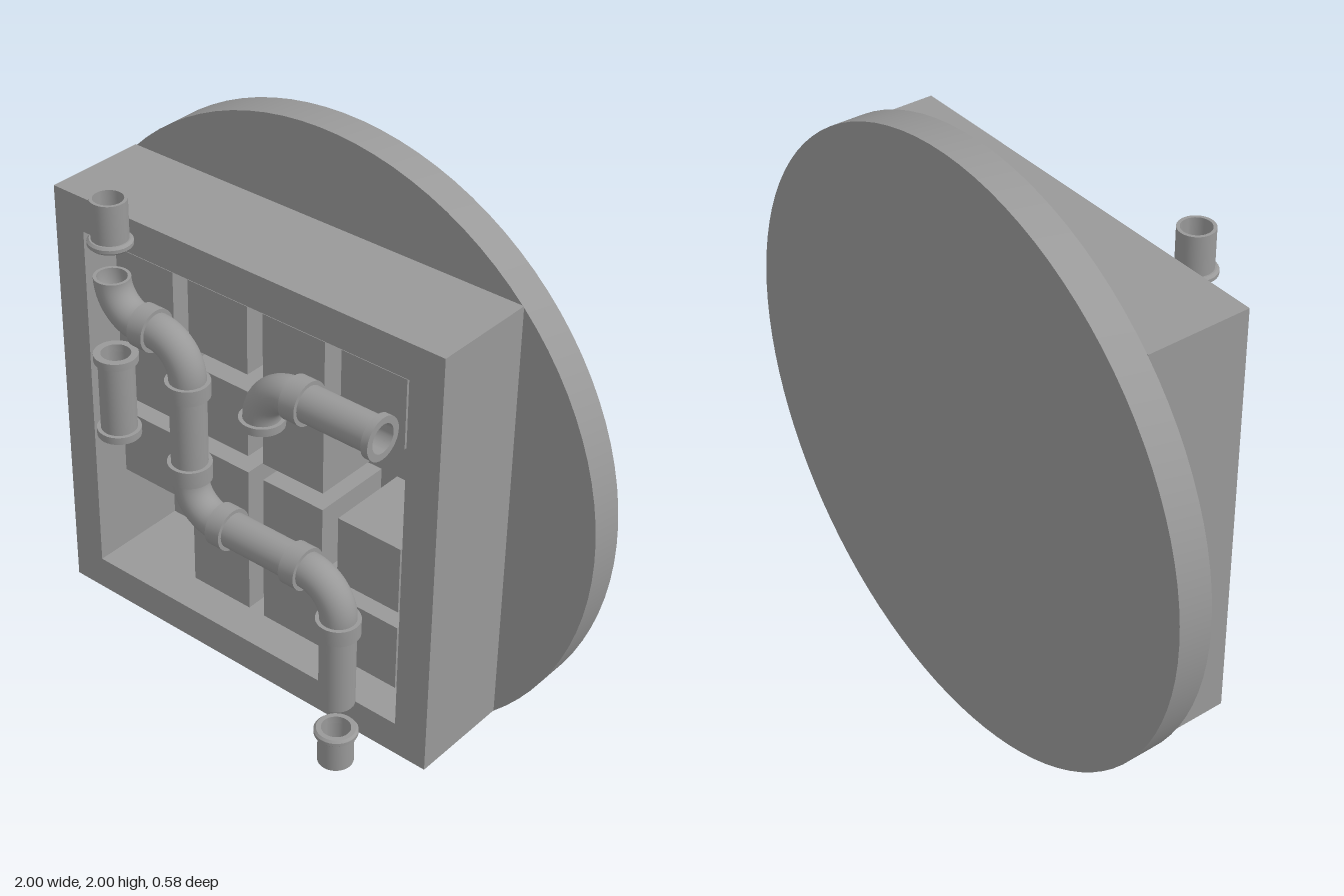
import * as THREE from 'three';
import { toCreasedNormals } from 'three/addons/utils/BufferGeometryUtils.js';

const grey = new THREE.MeshStandardMaterial({ color: 0x999999, side: THREE.DoubleSide });
grey.name = 'grey';

const R = 0.055, HOLE = 0.045, COLLAR = 0.067, BEND = 0.115, PIPE_Z = 0.22;

export function createModel() {
  const model = new THREE.Group();
  model.name = 'pipePuzzle';

  const add = (name, geometry, x, y, z, parent = model) => {
    const mesh = new THREE.Mesh(geometry, grey);
    mesh.name = name;
    mesh.position.set(x, y, z);
    parent.add(mesh);
    return mesh;
  };

  // Round backing disc
  const disc = toCreasedNormals(new THREE.CylinderGeometry(1, 1, 0.11, 96), 0.6);
  add('backDisc', disc.rotateX(Math.PI / 2), 0, 1, -0.235);

  // Square frame, open through to the disc
  const rect = (shape, x, y) =>
    shape.moveTo(-x, -y).lineTo(x, -y).lineTo(x, y).lineTo(-x, y).closePath();
  const frame = rect(new THREE.Shape(), 0.708, 0.708);
  frame.holes.push(rect(new THREE.Path(), 0.596, 0.596));
  add('frame', new THREE.ExtrudeGeometry(frame, { depth: 0.34, bevelEnabled: false }), 0, 1.003, -0.18);

  // Grid of blocks, with two places left empty
  ['####', '###.', '####', '.###'].forEach((row, j) => [...row].forEach((cell, i) => {
    if (cell === '#') {
      add('block', new THREE.BoxGeometry(0.225, 0.225, 0.27),
        -0.425 + i * 0.2833, 1.428 - j * 0.2833, -0.045);
    }
  }));

  // Hollow straight ring or pipe between two points on the pipe plane
  function pipe(name, x1, y1, x2, y2, radius = R, chamfer = 0) {
    const h = Math.hypot(x2 - x1, y2 - y1) / 2;
    const c = chamfer;
    const profile = [[HOLE, -h], [radius - c, -h]];
    if (c) profile.push([radius, c - h], [radius, h - c]);
    else profile.push([radius, h]);
    if (c) profile.push([radius - c, h]);
    profile.push([HOLE, h], [HOLE, -h]);
    const points = profile.map(([a, b]) => new THREE.Vector2(a, b));
    const mesh = add(name, toCreasedNormals(new THREE.LatheGeometry(points, 32), 0.6),
      (x1 + x2) / 2, (y1 + y2) / 2, PIPE_Z);
    if (x1 !== x2) mesh.rotation.z = -Math.PI / 2;
  }
  const collar = (...ends) => pipe('collar', ...ends, COLLAR);
  const lip = (...ends) => pipe('lip', ...ends, COLLAR, 0.007);

  // Hollow quarter bend about a centre point
  function elbow(x, y, quarterTurns) {
    const group = new THREE.Group();
    group.name = 'elbow';
    group.position.set(x, y, PIPE_Z);
    group.rotation.z = quarterTurns * Math.PI / 2;
    for (const [name, r] of [['elbowOuter', R], ['elbowInner', HOLE]]) {
      add(name, new THREE.TorusGeometry(BEND, r, 32, 16, Math.PI / 2), 0, 0, 0, group);
    }
    const end = () => new THREE.RingGeometry(HOLE, R, 32);
    add('elbowEnd', end().rotateX(Math.PI / 2), BEND, 0, 0, group);
    add('elbowEnd', end().rotateY(-Math.PI / 2), 0, BEND, 0, group);
    model.add(group);
  }

  // Inlet and outlet stubs
  pipe('inlet', -0.425, 1.647, -0.425, 1.795);
  lip(-0.425, 1.645, -0.425, 1.67);
  pipe('outlet', 0.425, 0.21, 0.425, 0.333);
  lip(0.425, 0.31, 0.425, 0.335);

  // Main winding run
  elbow(-0.31, 1.545, 2);
  collar(-0.31, 1.43, -0.255, 1.43);
  elbow(-0.255, 1.315, 0);
  collar(-0.14, 1.265, -0.14, 1.315);
  pipe('mainPipe', -0.14, 1.03, -0.14, 1.27);
  collar(-0.14, 0.98, -0.14, 1.035);
  elbow(-0.025, 0.98, 2);
  collar(-0.025, 0.865, 0.027, 0.865);
  pipe('mainPipe', 0.025, 0.865, 0.26, 0.865);
  collar(0.255, 0.865, 0.31, 0.865);
  elbow(0.31, 0.75, 0);
  collar(0.425, 0.697, 0.425, 0.75);
  pipe('mainPipe', 0.425, 0.44, 0.425, 0.7);

  // Loose vertical piece
  pipe('loosePipe', -0.425, 1.008, -0.425, 1.285);
  collar(-0.425, 1.006, -0.425, 1.03);
  collar(-0.425, 1.263, -0.425, 1.287);

  // Loose bent piece
  collar(0.14, 1.29, 0.14, 1.315);
  elbow(0.255, 1.315, 1);
  collar(0.255, 1.43, 0.31, 1.43);
  pipe('loosePipe', 0.305, 1.43, 0.56, 1.43);
  collar(0.54, 1.43, 0.563, 1.43);

  return model;
}
